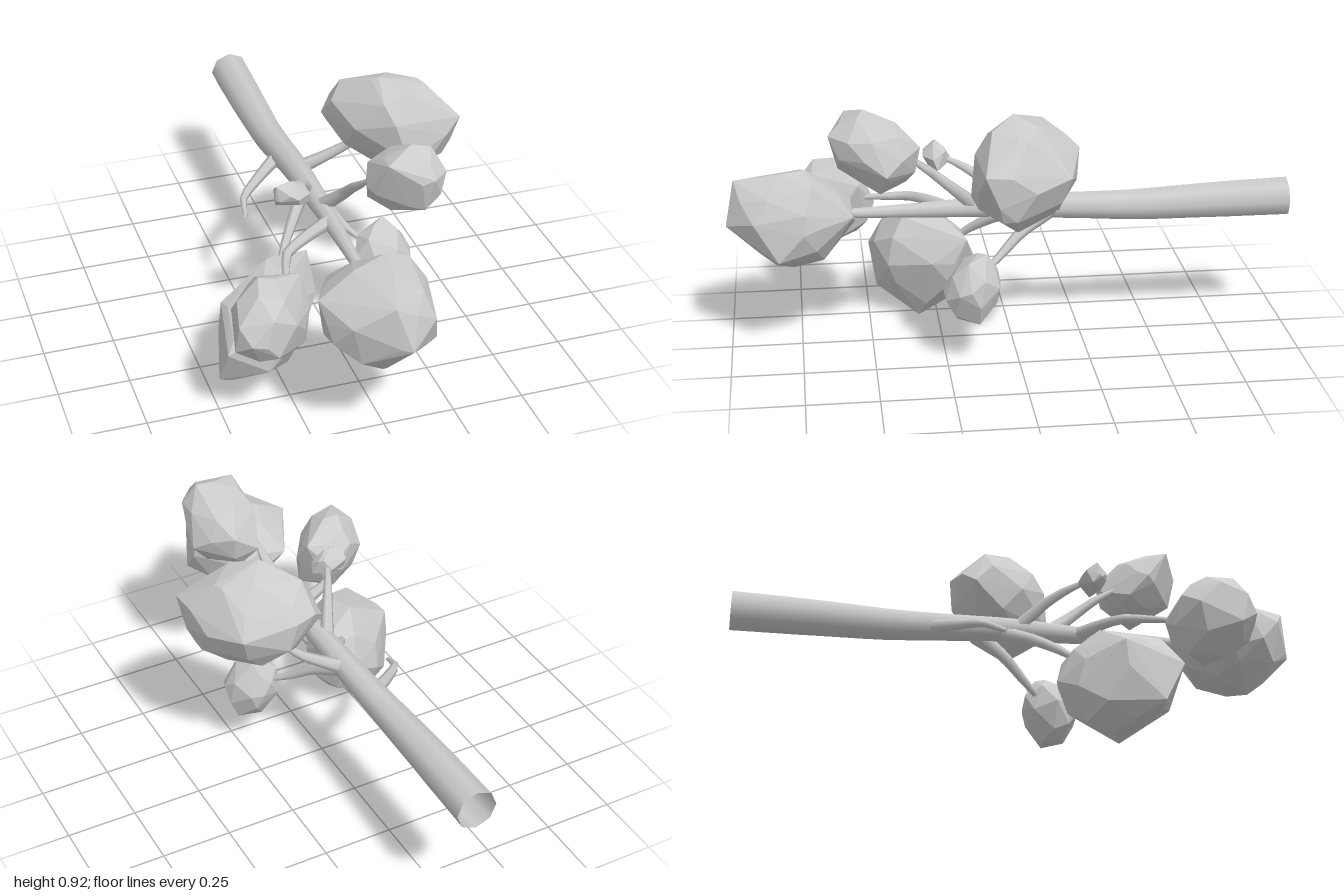
import * as THREE from 'three';
import { ConvexGeometry } from 'three/addons/geometries/ConvexGeometry.js';

const bark = new THREE.MeshStandardMaterial({ color: 0xcccccc, side: THREE.DoubleSide });
const leaf = new THREE.MeshStandardMaterial({ color: 0xcccccc, flatShading: true });

// Small seeded generator
function seeded(seed) {
  let s = seed * 7919 + 17;
  return () => (s = (s * 16807) % 2147483647) / 2147483647;
}

// Tube along a gently kinked path whose radius follows a list of evenly spread values
function limb(name, points, radii, rings, sides) {
  const path = points.map((p) => new THREE.Vector3(...p));
  const curve = new THREE.CatmullRomCurve3(path, false, 'catmullrom', 0.25);
  const geo = new THREE.TubeGeometry(curve, rings, 1, sides, false);
  const pos = geo.attributes.position;
  const v = new THREE.Vector3();
  for (let i = 0; i <= rings; i++) {
    const centre = curve.getPointAt(i / rings);
    const t = (i / rings) * (radii.length - 1);
    const k = Math.min(Math.floor(t), radii.length - 2);
    const r = THREE.MathUtils.lerp(radii[k], radii[k + 1], t - k);
    for (let j = 0; j <= sides; j++) {
      const n = i * (sides + 1) + j;
      v.fromBufferAttribute(pos, n).sub(centre).multiplyScalar(r).add(centre);
      pos.setXYZ(n, v.x, v.y, v.z);
    }
  }
  const mesh = new THREE.Mesh(geo, bark);
  mesh.name = name;
  return mesh;
}

// Faceted clump: hull of a few outer corners and a slanted, slightly smaller scattered ball
function clump(name, [xy, xz, yz], count, seed, corners) {
  const rand = seeded(seed);
  const outer = corners.map((c) => new THREE.Vector3(...c));
  const box = new THREE.Box3().setFromPoints(outer);
  const centre = box.getCenter(new THREE.Vector3());
  const span = box.getSize(new THREE.Vector3()).multiplyScalar(0.94);
  const ball = [];
  for (let i = 0; i < count; i++) {
    const y = 1 - (2 * (i + 0.5)) / count;
    const a = i * 2.39996 + (rand() - 0.5) * 0.5 + seed;
    const r = Math.sqrt(1 - y * y);
    const p = new THREE.Vector3(r * Math.cos(a), y + (rand() - 0.5) * 0.1, r * Math.sin(a));
    p.multiplyScalar(0.96 + rand() * 0.08);
    ball.push(p.set(p.x + xy * p.y + xz * p.z, p.y + yz * p.z, p.z));
  }
  const from = new THREE.Box3().setFromPoints(ball);
  const middle = from.getCenter(new THREE.Vector3());
  const size = from.getSize(new THREE.Vector3());
  ball.forEach((p) => p.sub(middle).divide(size).multiply(span).add(centre));
  const mesh = new THREE.Mesh(new ConvexGeometry([...outer, ...ball]), leaf);
  mesh.name = name;
  return mesh;
}

export function createModel() {
  const group = new THREE.Group();
  group.name = 'leafyBranch';

  // Main branch, thick at the cut end and thin at the tip
  group.add(limb('mainBranch', [
    [-0.022, 0.48, -1], [-0.026, 0.474, -0.7], [-0.026, 0.469, -0.45], [-0.014, 0.482, -0.2],
    [-0.012, 0.49, 0], [-0.01, 0.488, 0.25], [-0.015, 0.483, 0.62],
  ], [0.072, 0.068, 0.061, 0.052, 0.046, 0.036, 0.025, 0.016], 21, 8));

  // Side twigs
  const twigs = [
    ['bareTwig', [[-0.03, 0.47, -0.31], [-0.12, 0.44, -0.24], [-0.215, 0.41, -0.15], [-0.232, 0.38, -0.07]]],
    ['upperLeftTwig', [[0, 0.49, -0.16], [0.08, 0.53, -0.14], [0.15, 0.57, -0.12], [0.23, 0.64, -0.07]]],
    ['lowerLeftTwig', [[0, 0.47, -0.14], [0.05, 0.41, -0.03], [0.1, 0.345, 0.05], [0.16, 0.3, 0.12]]],
    ['lowerRightTwig', [[-0.02, 0.47, -0.05], [-0.09, 0.42, 0.05], [-0.15, 0.36, 0.13], [-0.2, 0.29, 0.21]]],
    ['topTwig', [[-0.01, 0.5, 0.13], [0.035, 0.58, 0.21], [0.05, 0.66, 0.3], [0.07, 0.72, 0.38]]],
    ['smallTwig', [[-0.02, 0.49, 0], [-0.07, 0.57, 0.09], [-0.11, 0.61, 0.16], [-0.15, 0.64, 0.24]]],
    ['frontRightTwig', [[-0.01, 0.49, 0.22], [-0.11, 0.485, 0.28], [-0.21, 0.47, 0.35], [-0.27, 0.45, 0.53]]],
  ];
  for (const [name, path] of twigs) {
    group.add(limb(name, path, [0.027, 0.021, 0.016, 0.008], 9, 6));
  }
  // Short fork beside the top twig
  group.add(limb('topFork', [[0.045, 0.63, 0.27], [0.065, 0.66, 0.3], [0.07, 0.71, 0.36]],
    [0.014, 0.012, 0.008], 5, 6));

  // Foliage clumps: slant, scatter count, seed, outer corners
  group.add(clump('frontClump', [0, 0, 0], 32, 1, [
    [-0.235, 0.55, 0.76], [0, 0.655, 0.72], [0.09, 0.62, 0.7], [0.16, 0.47, 0.73],
    [0.15, 0.37, 0.82], [-0.04, 0.29, 0.83], [-0.21, 0.43, 0.72], [0, 0.46, 1],
    [-0.14, 0.5, 0.56], [0.05, 0.49, 0.56], [-0.05, 0.61, 0.97], [-0.03, 0.45, 0.55],
  ]));
  group.add(clump('topClump', [0, 0.25, 0.4], 26, 2, [
    [0.16, 0.918, 0.52], [0.22, 0.91, 0.54], [0.06, 0.885, 0.58], [0.28, 0.71, 0.45],
    [0.22, 0.635, 0.47], [0.05, 0.7, 0.42], [0.02, 0.77, 0.5], [0.17, 0.78, 0.33],
    [0.2, 0.84, 0.64], [0.18, 0.72, 0.61],
  ]));
  group.add(clump('upperLeftClump', [-0.2, 0.45, 0], 30, 3, [
    [0.23, 0.905, 0.02], [0.4, 0.855, 0.02], [0.488, 0.77, 0.14], [0.45, 0.6, 0.08],
    [0.36, 0.53, 0.02], [0.27, 0.52, -0.02], [0.2, 0.77, -0.21], [0.07, 0.72, -0.13],
    [0.38, 0.72, -0.16], [0.29, 0.64, 0.17],
  ]));
  group.add(clump('lowerLeftClump', [0, 0, -0.15], 22, 4, [
    [0.22, 0.4, 0.11], [0.305, 0.29, 0.17], [0.27, 0.16, 0.14], [0.18, 0.15, 0.13],
    [0.095, 0.28, 0.17], [0.2, 0.27, 0.26], [0.2, 0.28, 0.06],
  ]));
  group.add(clump('lowerRightClump', [0.2, -0.45, 0], 30, 5, [
    [-0.475, 0.06, 0.42], [-0.3, 0, 0.28], [-0.2, 0.005, 0.32], [-0.07, 0.25, 0.2],
    [-0.075, 0.34, 0.15], [-0.25, 0.4, 0.25], [-0.46, 0.2, 0.49], [-0.2, 0.22, 0.11],
    [-0.43, 0.29, 0.3], [-0.25, 0.22, 0.45],
  ]));
  group.add(clump('frontRightClump', [-0.1, -0.3, 0], 26, 6, [
    [-0.385, 0.568, 0.6], [-0.22, 0.51, 0.53], [-0.21, 0.42, 0.6], [-0.23, 0.3, 0.62],
    [-0.37, 0.275, 0.65], [-0.49, 0.36, 0.69], [-0.4, 0.4, 0.76], [-0.3, 0.42, 0.47],
    [-0.46, 0.47, 0.6],
  ]));
  group.add(clump('smallClump', [-0.2, 0, 0], 10, 7, [
    [-0.17, 0.69, 0.25], [-0.11, 0.66, 0.23], [-0.095, 0.6, 0.25], [-0.22, 0.63, 0.26],
    [-0.215, 0.6, 0.24], [-0.15, 0.64, 0.3], [-0.15, 0.63, 0.2],
  ]));

  return group;
}
